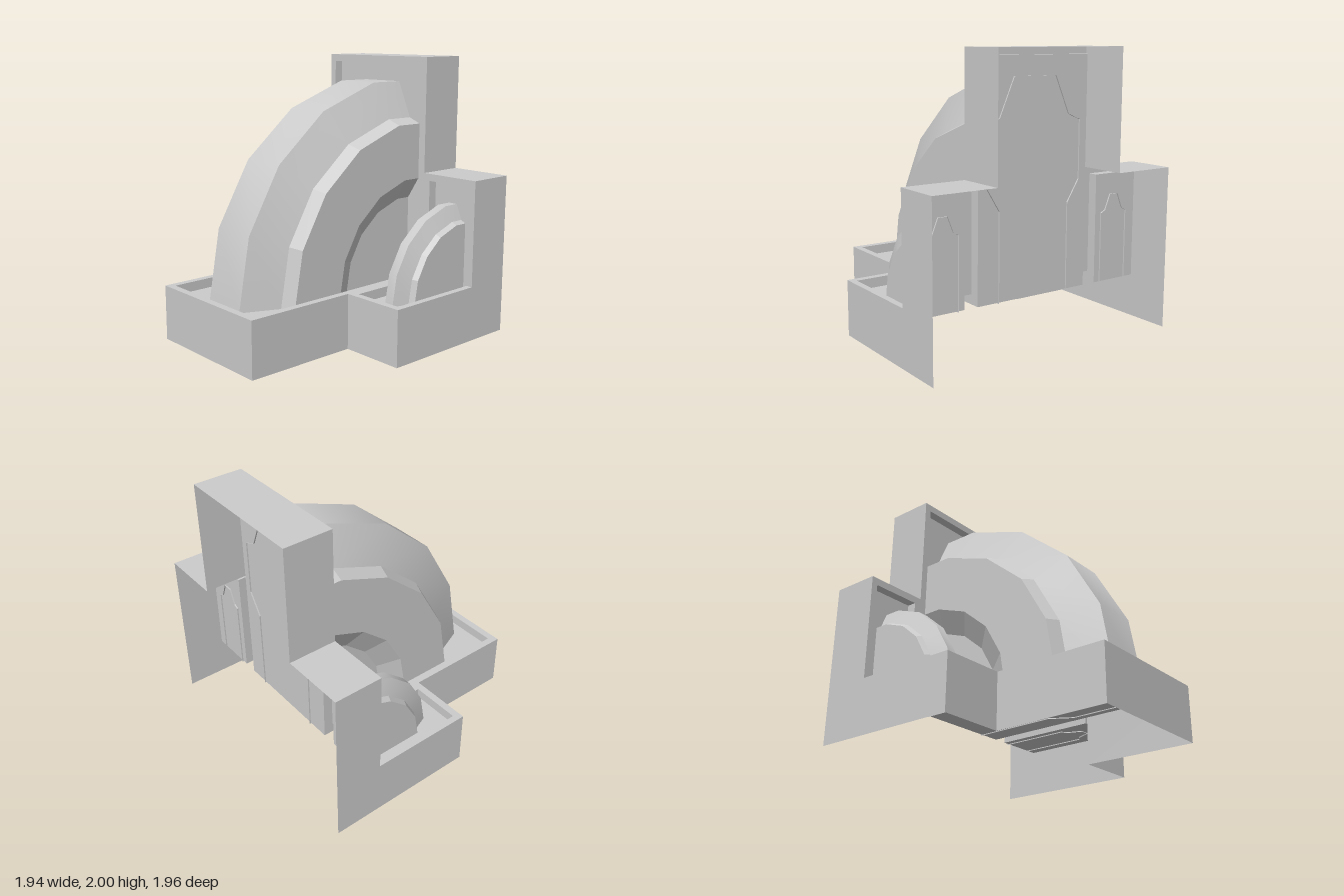
import * as THREE from 'three';
import { toCreasedNormals } from 'three/addons/utils/BufferGeometryUtils.js';

const material = new THREE.MeshStandardMaterial({ color: 0xcccccc, side: THREE.DoubleSide });

// Inner corner where the wall's front plane meets the floor's top plane
const CORNER_Y = 0.4, CORNER_Z = -0.622, RECESS = 0.07;

// Outline of wall and floor in (x, u); u runs away from the inner corner
const half = [[0.972, 0], [0.972, 0.762], [0.504, 0.762], [0.504, 1.6]];
const outline = [...half.map(([x, u]) => [-x, u]), ...half.slice().reverse()];

// Recessed panels: left edge, right edge, reach
const recesses = [
  { name: 'Right', x0: -0.925, x1: -0.557, reach: 0.71 },
  { name: 'Main', x0: -0.452, x1: 0.452, reach: 1.547 },
  { name: 'Left', x0: 0.557, x1: 0.925, reach: 0.71 },
];

// Places (x, u, depth) points on the upright wall or the flat floor
const wall = {
  name: 'wall', depth: 0.356, start: 0, flip: false,
  map: (x, u, d) => [x, CORNER_Y + u, CORNER_Z - d],
};
const floor = {
  name: 'floor', depth: 0.4, start: -0.356, flip: true,
  map: (x, u, d) => [x, CORNER_Y - d, CORNER_Z + u],
};

function meshFrom(name, triangles, flip = false) {
  const positions = [];
  for (const [a, b, c] of triangles) positions.push(...a, ...(flip ? c : b), ...(flip ? b : c));
  const geometry = new THREE.BufferGeometry();
  geometry.setAttribute('position', new THREE.Float32BufferAttribute(positions, 3));
  geometry.computeVertexNormals();
  const mesh = new THREE.Mesh(geometry, material);
  mesh.name = name;
  return mesh;
}

// Flat face bounded by a path at a given depth
function face(name, plane, path, depth) {
  const points = path.map(([x, u]) => new THREE.Vector2(x, u));
  const shape = new THREE.ShapeGeometry(new THREE.Shape(points));
  const p = shape.attributes.position, index = shape.index.array, triangles = [];
  const at = i => plane.map(p.getX(i), p.getY(i), depth);
  for (let i = 0; i < index.length; i += 3) {
    triangles.push([at(index[i]), at(index[i + 1]), at(index[i + 2])]);
  }
  return meshFrom(name, triangles, plane.flip);
}

// Thin band following an open path from depth 0 inward
function band(name, plane, path, depth) {
  const triangles = [];
  for (let i = 0; i < path.length - 1; i++) {
    const a = plane.map(...path[i], 0), b = plane.map(...path[i + 1], 0);
    const c = plane.map(...path[i + 1], depth), d = plane.map(...path[i], depth);
    triangles.push([a, b, c], [a, c, d]);
  }
  return meshFrom(name, triangles, plane.flip);
}

function createSide(plane) {
  const group = new THREE.Group();
  group.name = plane.name;

  // Raised border, notched where the panels are sunk in
  const border = [...outline];
  for (const { x0, x1, reach } of recesses.slice().reverse()) {
    border.push([x1, 0], [x1, reach], [x0, reach], [x0, 0]);
  }
  group.add(face(plane.name + 'Border', plane, border, 0));

  // Outer skin, open behind
  const skin = outline.map(([x, u]) => [x, u === 0 ? plane.start : u]);
  group.add(band(plane.name + 'Skin', plane, skin, plane.depth));

  // Sunken panels and their rims
  const inner = -RECESS, rimStart = plane === floor ? inner : 0;
  for (const { name, x0, x1, reach } of recesses) {
    const panel = [[x0, inner], [x1, inner], [x1, reach], [x0, reach]];
    const rim = [[x1, rimStart], [x1, reach], [x0, reach], [x0, rimStart]];
    group.add(face(plane.name + 'Panel' + name, plane, panel, RECESS));
    group.add(band(plane.name + 'Rim' + name, plane, rim, RECESS));
  }
  return group;
}

// Sweeps a section of [radius, x] points a quarter turn about the corner
function sweep(name, section) {
  const cy = 0.323, cz = -0.683, end = -0.702;
  const rows = [0, 20, 40, 60, 80].map(degrees => {
    const a = THREE.MathUtils.degToRad(degrees);
    return section.map(([r, x]) => [x, cy + r * Math.sin(a), cz + r * Math.cos(a)]);
  });
  // Last section pokes just through the wall panel
  const flat = Math.cos(Math.PI / 18);
  rows.push(section.map(([r, x]) => [x, cy + r * flat, end]));

  const triangles = [];
  for (let j = 0; j < rows.length - 1; j++) {
    const last = j === rows.length - 2;
    for (let k = 0; k < section.length - 1; k++) {
      const a = rows[j][k], b = rows[j + 1][k], c = rows[j + 1][k + 1], d = rows[j][k + 1];
      if (section[k][0] > 0 || last) triangles.push([a, b, c]);
      if (section[k + 1][0] > 0 || last) triangles.push([a, c, d]);
    }
  }
  return meshFrom(name, triangles);
}

// Quarter wheel: faceted cheeks either side of a smooth tread; profile is [radius, half width]
function createWheel(name, centreX, profile) {
  const group = new THREE.Group();
  group.name = name;
  const left = profile.map(([r, w]) => [r, w]);
  const right = profile.map(([r, w]) => [r, -w]).reverse();
  const tread = sweep('tread', [...left.slice(-2), ...right.slice(0, 2)]);
  tread.geometry = toCreasedNormals(tread.geometry, 0.4);
  group.add(sweep('leftCheek', left.slice(0, -1)), tread, sweep('rightCheek', right.slice(1)));
  group.position.x = centreX;
  return group;
}

export function createModel() {
  const model = new THREE.Group();
  model.name = 'wheelHousing';
  model.add(createSide(wall), createSide(floor));

  model.add(createWheel('mainWheel', 0,
    [[0, 0.287], [0.63, 0.287], [0.789, 0.385], [1.205, 0.385], [1.245, 0.287], [1.512, 0.172]]));
  for (const [name, side] of [['leftWheel', 1], ['rightWheel', -1]]) {
    model.add(createWheel(name, side * 0.722,
      [[0, 0.118], [0.515, 0.118], [0.535, 0.08], [0.647, 0.035]]));
  }
  return model;
}
